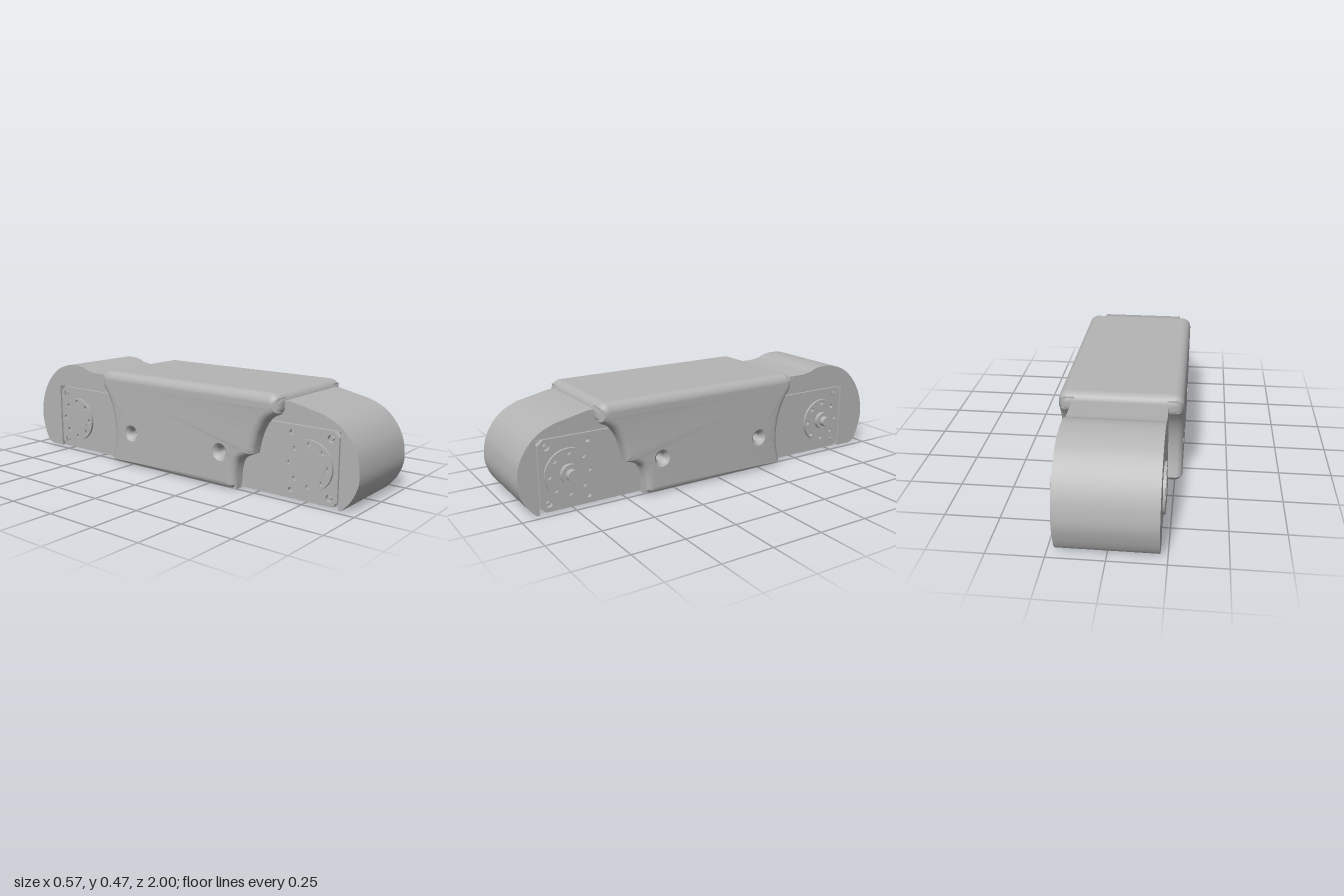
import * as THREE from 'three';
import { toCreasedNormals } from 'three/addons/utils/BufferGeometryUtils.js';
import { RoundedBoxGeometry } from 'three/addons/geometries/RoundedBoxGeometry.js';

const V = (a, b) => new THREE.Vector2(a, b);

// Adds round holes [a, b, radius] to a shape
function drill(shape, holes) {
  for (const [a, b, r] of holes) {
    const p = new THREE.Path();
    p.absarc(a, b, r, 0, Math.PI * 2, true);
    shape.holes.push(p);
  }
  return shape;
}

// Extrudes a (z, y) shape along x, from x0 to x1
function sideExtrude(shape, x0, x1, curveSegments = 8) {
  const g = new THREE.ExtrudeGeometry(shape, { depth: x1 - x0, bevelEnabled: false, curveSegments });
  g.rotateY(-Math.PI / 2).translate(x1, 0, 0);
  return toCreasedNormals(g, 0.5);
}

export function createModel() {
  const model = new THREE.Group();
  model.name = 'actuatorLink';
  const grey = new THREE.MeshStandardMaterial({ color: 0xb4b4b4 });
  grey.name = 'grey';
  const add = (name, geo, parent = model) => {
    const m = new THREE.Mesh(geo, grey);
    m.name = name;
    parent.add(m);
    return m;
  };
  const cylX = (r, x0, x1, y, z) =>
    new THREE.CylinderGeometry(r, r, x1 - x0, 32).rotateZ(-Math.PI / 2).translate((x0 + x1) / 2, y, z);

  // Arched cover running over both servos
  const cover = new THREE.Shape();
  cover.moveTo(0.908, 0);
  cover.lineTo(0.922, 0);
  cover.splineThru([V(0.965, 0.05), V(0.993, 0.11), V(1, 0.17), V(0.985, 0.25), V(0.945, 0.32),
    V(0.89, 0.37), V(0.82, 0.402)]);
  cover.lineTo(0.66, 0.436);
  cover.lineTo(-0.56, 0.436);
  cover.splineThru([V(-0.61, 0.444), V(-0.65, 0.459), V(-0.705, 0.465), V(-0.78, 0.456), V(-0.86, 0.422),
    V(-0.93, 0.357), V(-0.98, 0.27), V(-1, 0.17), V(-0.985, 0.085), V(-0.955, 0.02), V(-0.92, 0)]);
  cover.lineTo(-0.84, 0);
  cover.lineTo(-0.84, 0.342);
  cover.lineTo(0.908, 0.342);
  add('cover', sideExtrude(cover, -0.218, 0.218));

  // Sleeve top
  add('sleeveTop', new RoundedBoxGeometry(0.57, 0.105, 1.075, 6, 0.045).translate(0, 0.4175, 0.0975));

  // Sleeve sides: scalloped ends, rounded outer edges, counterbored screw holes
  const screws = [[0.33, 0.17], [-0.23, 0.17]];
  for (const s of [1, -1]) {
    const panel = new THREE.Shape();
    panel.moveTo(0.39, 0.003);
    panel.lineTo(0.41, 0.02);
    panel.splineThru([V(0.415, 0.09), V(0.43, 0.14), V(0.46, 0.163), V(0.505, 0.182)]);
    panel.splineThru([V(0.515, 0.23), V(0.535, 0.29), V(0.57, 0.345), V(0.63, 0.385)]);
    panel.lineTo(0.63, 0.452);
    panel.lineTo(-0.435, 0.452);
    panel.lineTo(-0.435, 0.39);
    panel.splineThru([V(-0.395, 0.33), V(-0.368, 0.26), V(-0.356, 0.18), V(-0.36, 0.1), V(-0.38, 0.022)]);
    panel.lineTo(-0.365, 0.003);
    drill(panel, screws.map(([a, b]) => [a, b, 0.02]));
    const g = new THREE.ExtrudeGeometry(panel, {
      depth: 0.095, bevelThickness: 0.035, bevelSize: 0.035, bevelOffset: -0.035,
      bevelSegments: 6, curveSegments: 8,
    });
    g.translate(0, 0, -0.0475).rotateY(-Math.PI / 2).translate(s * 0.2025, 0, 0);
    const p = g.attributes.position;
    for (let i = 0; i < p.count; i++) {
      // Flatten the inner face
      p.setX(i, s * Math.max(0.21, s * p.getX(i)));
      // Turn the flared hole mouths into straight counterbores
      for (const [cz, cy] of screws) {
        const dz = p.getZ(i) - cz, dy = p.getY(i) - cy, d = Math.hypot(dz, dy);
        if (d < 0.07 && d > 0.042) {
          p.setZ(i, cz + dz * 0.042 / d);
          p.setY(i, cy + dy * 0.042 / d);
        }
      }
    }
    add(s > 0 ? 'sleeveLeft' : 'sleeveRight', toCreasedNormals(g, 0.5));
    add('sleeveTab', new THREE.BoxGeometry(0.038, 0.066, 0.05).translate(s * 0.243, 0.036, 0.387));
  }

  // Servos, one facing each end
  for (const [name, d, end] of [['frontServo', 1, 0.9], ['backServo', -1, -0.832]]) {
    const servo = new THREE.Group();
    servo.name = name;
    model.add(servo);
    const Z = u => end - d * u;
    const L = 0.545, axis = Z(0.135), axisY = 0.17;

    add('servoBody', new THREE.BoxGeometry(0.39, 0.318, L - 0.02).translate(0, 0.174, Z(L / 2)), servo);

    // Side plates with chamfered outer corners and screw holes
    for (const s of [1, -1]) {
      const plate = drill(new THREE.Shape([V(Z(0.025), 0.005), V(Z(0), 0.03), V(Z(0), 0.312), V(Z(0.025), 0.337),
        V(Z(L), 0.337), V(Z(L), 0.005)]),
      [[Z(0.038), 0.302, 0.017], [Z(0.038), 0.042, 0.017], [Z(0.23), 0.302, 0.012], [Z(0.23), 0.042, 0.012]]);
      const x = s * 0.2025;
      add('sidePlate', sideExtrude(plate, x - 0.0125, x + 0.0125), servo);
      for (const y of [0.302, 0.042]) {
        add('cornerScrew', cylX(0.009, x - 0.01, x + 0.01, y, Z(0.038)), servo);
      }

      // Output horn with a ring of eight holes
      const disc = new THREE.Shape();
      disc.absarc(axis, axisY, 0.114, 0, Math.PI * 2, false);
      drill(disc, Array.from({ length: 8 }, (_, i) => {
        const t = i * Math.PI / 4;
        return [axis + 0.095 * Math.cos(t), axisY + 0.095 * Math.sin(t), 0.011];
      }));
      add('horn', sideExtrude(disc, s * 0.2195 - 0.0075, s * 0.2195 + 0.0075, 24), servo);
    }

    // Shaft on the left, plain cap on the right
    add('hub', cylX(0.045, 0.22, 0.246, axisY, axis), servo);
    add('shaft', cylX(0.026, 0.24, 0.275, axisY, axis), servo);
    add('hornCap', cylX(0.078, -0.229, -0.22, axisY, axis), servo);

    // End and bottom plates
    add('innerEnd', new THREE.BoxGeometry(0.39, 0.33, 0.012).translate(0, 0.171, Z(L - 0.006)), servo);
    const base = drill(new THREE.Shape([V(-0.2, Z(0.02)), V(0.2, Z(0.02)), V(0.2, Z(L)), V(-0.2, Z(L))]),
      [[0.07, Z(0.145), 0.011], [-0.07, Z(0.145), 0.011], [0.07, Z(0.37), 0.011], [-0.07, Z(0.37), 0.011]]);
    const slot = new THREE.Path([V(-0.17, Z(0.21)), V(-0.105, Z(0.21)), V(-0.105, Z(0.28)), V(-0.17, Z(0.28))]);
    base.holes.push(slot);
    const bg = new THREE.ExtrudeGeometry(base, { depth: 0.014, bevelEnabled: false, curveSegments: 8 });
    add('bottomPlate', bg.rotateX(Math.PI / 2).translate(0, 0.018, 0), servo);
    add('connector', new THREE.BoxGeometry(0.035, 0.012, 0.05).translate(-0.138, 0.011, Z(0.245)), servo);
  }

  return model;
}
